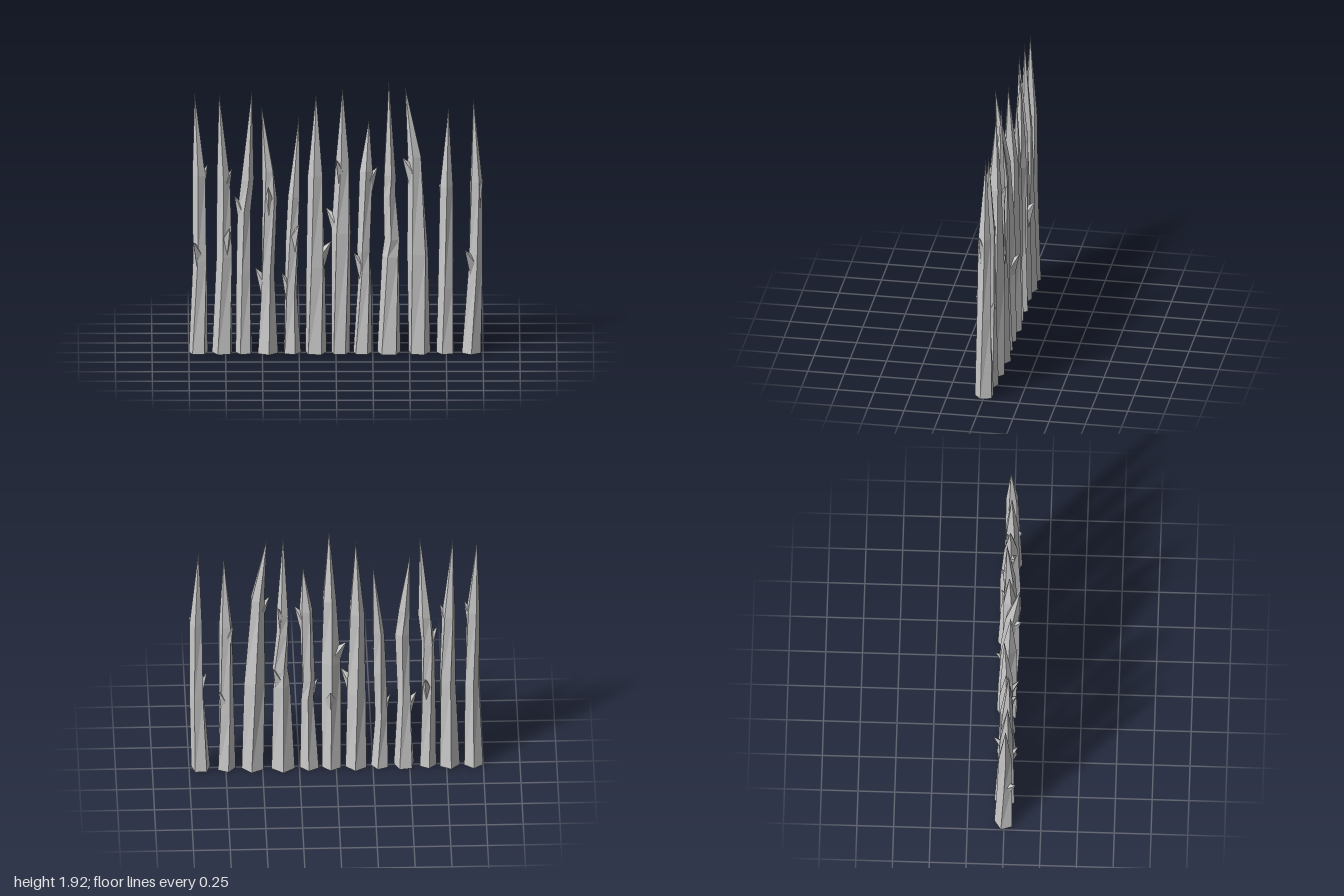
import * as THREE from 'three';
import { ConvexGeometry } from 'three/addons/geometries/ConvexGeometry.js';

const SIDES = 5;
const material = new THREE.MeshStandardMaterial({ color: 0xcccccc, flatShading: true });

// Five-sided trunk through rings {y, x, z, r, a}, closed below and pointed above.
function trunkGeometry(rings, tip) {
  const pos = [], idx = [];
  for (const g of rings) {
    for (let i = 0; i < SIDES; i++) {
      const a = g.a + (i * 2 * Math.PI) / SIDES;
      pos.push(g.x + g.r * Math.cos(a), g.y, g.z + g.r * Math.sin(a));
    }
  }
  const top = rings.length * SIDES;
  pos.push(...tip, rings[0].x, 0, rings[0].z);
  for (let k = 0; k < rings.length; k++) {
    for (let i = 0; i < SIDES; i++) {
      const j = (i + 1) % SIDES, a = k * SIDES + i, b = k * SIDES + j;
      if (k === 0) idx.push(a, b, top + 1);
      if (k === rings.length - 1) idx.push(a, top, b);
      else idx.push(a, a + SIDES, b, b, a + SIDES, b + SIDES);
    }
  }
  const geo = new THREE.BufferGeometry();
  geo.setAttribute('position', new THREE.Float32BufferAttribute(pos, 3));
  geo.setIndex(idx);
  const flat = geo.toNonIndexed();
  flat.computeVertexNormals();
  return flat;
}

// Trunk centre and radius at a height
function sectionAt(rings, y) {
  let k = 0;
  while (k < rings.length - 2 && rings[k + 1].y < y) k++;
  const p = rings[k], q = rings[k + 1];
  const t = THREE.MathUtils.clamp((y - p.y) / (q.y - p.y), 0, 1);
  const mix = (n) => THREE.MathUtils.lerp(p[n], q[n], t);
  return { x: mix('x'), z: mix('z'), r: mix('r') };
}

// Broken branch: a pointed wedge growing up and out of the trunk
function thornGeometry(rings, [x, y, z]) {
  const s = sectionAt(rings, y - 0.12);
  const dir = new THREE.Vector2(x - s.x, z - s.z).normalize();
  const at = (h, out, side) => new THREE.Vector3(
    s.x + dir.x * out - dir.y * side, h, s.z + dir.y * out + dir.x * side);
  const r = s.r;
  return new ConvexGeometry([
    at(y - 0.22, r * 0.75, 0),
    at(y - 0.1, r * 0.6, r * 0.55),
    at(y - 0.1, r * 0.6, -r * 0.55),
    at(y - 0.05, r * 0.45, 0),
    new THREE.Vector3(x, y, z),
  ]);
}

// sections: [height, left x, right x]; tip and thorns: [x, y, z]
function stake(turn, sections, tip, thorns) {
  const group = new THREE.Group();
  group.name = 'stake';
  const rings = sections.map(([y, x0, x1], k) => ({
    y, x: (x0 + x1) / 2, z: tip[2] * 0.4 * y / tip[1],
    r: (x1 - x0) / 1.92,
    a: THREE.MathUtils.degToRad(turn - 14 * k),
  }));
  const trunk = new THREE.Mesh(trunkGeometry(rings, tip), material);
  trunk.name = 'trunk';
  group.add(trunk);
  for (const t of thorns) {
    const thorn = new THREE.Mesh(thornGeometry(rings, t), material);
    thorn.name = 'thorn';
    group.add(thorn);
  }
  return group;
}

export function createModel() {
  const fence = new THREE.Group();
  fence.name = 'palisade';
  // Stakes in order from the right end to the left end
  fence.add(
    stake(54, [[0, -1, -0.87], [0.65, -0.97, -0.87], [1.25, -0.975, -0.885]],
      [-0.96, 1.83, 0.01], [[-0.97, 0.8, 0.08], [-0.87, 1.33, 0.01]]),
    stake(45, [[0, -0.84, -0.7], [0.68, -0.81, -0.7], [1.22, -0.81, -0.72]],
      [-0.795, 1.84, 0.02], [[-0.72, 0.9, 0.09], [-0.705, 1.3, 0.02]]),
    stake(45, [[0, -0.68, -0.565], [0.57, -0.675, -0.575], [1, -0.67, -0.58], [1.22, -0.65, -0.56]],
      [-0.57, 1.86, 0.02], [[-0.69, 1.11, 0.03], [-0.6, 0.75, -0.085]]),
    stake(82, [[0, -0.535, -0.395], [0.55, -0.51, -0.42], [1.08, -0.5, -0.4], [1.28, -0.5, -0.42]],
      [-0.505, 1.73, 0], [[-0.55, 0.6, 0], [-0.46, 1.18, 0.07]]),
    stake(70, [[0, -0.36, -0.24], [0.4, -0.35, -0.265], [0.78, -0.34, -0.25], [1.1, -0.325, -0.245]],
      [-0.25, 1.67, -0.02], [[-0.37, 0.57, 0.02], [-0.25, 0.92, 0.085]]),
    stake(60, [[0, -0.21, -0.065], [0.61, -0.2, -0.07], [1.25, -0.19, -0.085]],
      [-0.135, 1.83, 0.02], [[-0.03, 0.79, 0.02]]),
    stake(60, [[0, -0.035, 0.095], [0.85, -0.03, 0.105], [1.35, 0, 0.095]],
      [0.045, 1.89, 0.08], [[-0.07, 1.02, -0.01], [0, 1.38, 0.09], [0.04, 0.66, -0.09]]),
    stake(60, [[0, 0.115, 0.245], [0.57, 0.155, 0.24], [0.72, 0.145, 0.235], [1.28, 0.16, 0.25]],
      [0.225, 1.64, 0], [[0.12, 0.71, 0.02], [0.285, 1.31, 0.01]]),
    stake(54, [[0, 0.28, 0.44], [0.68, 0.315, 0.435], [0.8, 0.33, 0.435], [1.1, 0.32, 0.405], [1.25, 0.32, 0.405]],
      [0.36, 1.92, -0.02], [[0.4, 1.34, -0.06], [0.43, 0.84, -0.06]]),
    stake(62, [[0, 0.49, 0.64], [0.7, 0.485, 0.63], [1.38, 0.49, 0.585]],
      [0.47, 1.87, 0], [[0.45, 1.38, 0.03]]),
    stake(41, [[0, 0.685, 0.81], [0.46, 0.695, 0.8], [1.17, 0.705, 0.795]],
      [0.765, 1.73, 0], [[0.7, 1.18, -0.04], [0.8, 0.66, -0.05]]),
    stake(90, [[0, 0.855, 0.985], [0.6, 0.895, 0.995], [1.2, 0.91, 0.995]],
      [0.935, 1.79, -0.01], [[0.875, 0.74, 0.07], [1, 1.23, 0.03]]),
  );
  return fence;
}
